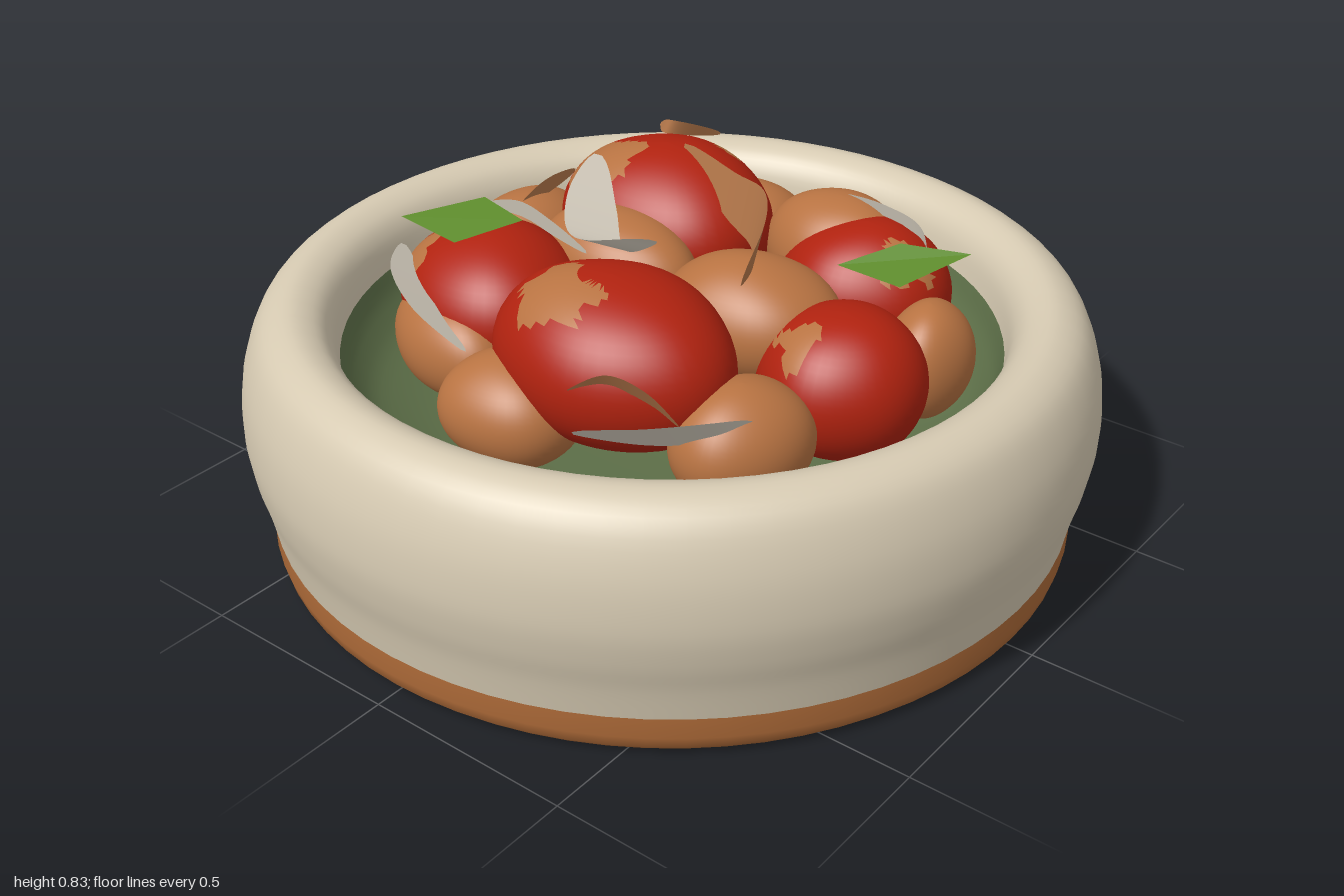
import * as THREE from 'three';

const mat = (name, color, side = THREE.FrontSide) => {
  const m = new THREE.MeshStandardMaterial({ color, side });
  m.name = name;
  return m;
};

export function createModel() {
  const group = new THREE.Group();
  const cream = mat('cream glaze', 0xd6cab2);
  const clay = mat('bare clay', 0xad6a38);
  const moss = mat('moss glaze', 0x5d6f48);
  const red = mat('tomato red', 0xb0220f);
  const orange = mat('roasted orange', 0xb87342);
  const onion = mat('onion white', 0xd9d1c2, THREE.DoubleSide);
  const peel = mat('peel brown', 0xb87a4c, THREE.DoubleSide);
  const leafGreen = mat('leaf green', 0x5c8a2b, THREE.DoubleSide);

  const add = (name, geo, material) => {
    const mesh = new THREE.Mesh(geo, material);
    mesh.name = name;
    group.add(mesh);
    return mesh;
  };

  // Bowl: successive bands of one turned profile
  const lathe = (name, pts, material, smooth = 0) => {
    let v = pts.map(p => new THREE.Vector2(...p));
    if (smooth) v = new THREE.SplineCurve(v).getPoints(smooth);
    add(name, new THREE.LatheGeometry(v, 72), material);
  };
  lathe('bowlUnderside', [[0, 0], [0.89, 0]], moss);
  lathe('bowlFoot', [[0.89, 0], [0.93, 0.004], [0.948, 0.022], [0.955, 0.05], [0.955, 0.1]], clay);
  lathe('bowlWall', [[0.955, 0.1], [0.97, 0.18], [0.99, 0.26], [1, 0.35], [0.987, 0.46], [0.945, 0.56],
    [0.88, 0.6], [0.82, 0.585], [0.785, 0.54], [0.77, 0.47]], cream, 40);
  lathe('bowlInside', [[0.77, 0.47], [0.74, 0.4], [0.66, 0.33], [0.45, 0.27], [0, 0.25]], moss, 20);

  // Slightly lumpy ellipsoid; triangles inside a ragged cap go to the second material
  const lump = (name, pos, radii, turn, main, patches = []) => {
    const geo = new THREE.SphereGeometry(1, 48, 32);
    const p = geo.attributes.position, v = new THREE.Vector3();
    const inMain = [], inPatch = [], idx = geo.index.array;
    const dirs = patches.map(([x, z, size]) =>
      ({ d: new THREE.Vector3(x, Math.sqrt(Math.max(0, 1 - x * x - z * z)), z).normalize(), size }));
    for (let i = 0; i < idx.length; i += 3) {
      const c = new THREE.Vector3();
      for (let k = 0; k < 3; k++) c.add(v.fromBufferAttribute(p, idx[i + k]));
      c.normalize();
      const ragged = 0.07 * Math.sin(c.x * 13 + pos[0] * 9) + 0.06 * Math.sin(c.z * 17 + pos[2] * 7);
      const hit = dirs.some(({ d, size }) => c.angleTo(d) < size + ragged);
      (hit ? inPatch : inMain).push(idx[i], idx[i + 1], idx[i + 2]);
    }
    for (let i = 0; i < p.count; i++) {
      v.fromBufferAttribute(p, i);
      const s = 1 + 0.025 * Math.sin(v.x * 4 + pos[0] * 11) * Math.cos(v.z * 3 + pos[2] * 8);
      p.setXYZ(i, v.x * s * radii[0], v.y * s * radii[1], v.z * s * radii[2]);
    }
    geo.setIndex([...inMain, ...inPatch]);
    geo.addGroup(0, inMain.length, 0);
    geo.addGroup(inMain.length, inPatch.length, 1);
    geo.computeVertexNormals();
    const mesh = add(name, geo, [main, orange]);
    mesh.position.set(...pos);
    mesh.rotation.y = turn;
  };

  // Tomatoes with roasted patches
  [
    [[-0.25, 0.58, -0.30], [0.285, 0.2, 0.235], -0.1, [[-0.45, 0.45, 0.4], [0.1, -0.75, 0.3]]],
    [[0.085, 0.57, 0.31], [0.29, 0.2, 0.225], 0.05, [[-0.35, 0.4, 0.38]]],
    [[-0.41, 0.5, 0.165], [0.24, 0.175, 0.21], -0.2, [[-0.55, 0.6, 0.3]]],
    [[0.47, 0.5, -0.01], [0.19, 0.175, 0.19], 0.1, [[-0.3, 0.6, 0.3]]],
    [[0.28, 0.51, -0.39], [0.21, 0.18, 0.19], 0.2, [[0.6, 0.4, 0.3]]],
  ].forEach(([pos, r, turn, patches], i) => lump('tomato' + (i + 1), pos, r, turn, red, patches));

  // Roasted root pieces filling the gaps
  [
    [[0.17, 0.56, -0.44], [0.19, 0.15, 0.145], 0],
    [[0.21, 0.57, -0.02], [0.22, 0.145, 0.165], 0.25],
    [[-0.22, 0.55, -0.07], [0.22, 0.14, 0.14], 0],
    [[-0.56, 0.49, -0.13], [0.14, 0.13, 0.18], -0.2],
    [[-0.16, 0.49, -0.51], [0.17, 0.14, 0.13], 0.3],
    [[-0.3, 0.48, -0.46], [0.13, 0.12, 0.12], 0.2],
    [[0.41, 0.46, 0.28], [0.14, 0.14, 0.17], -0.25],
    [[-0.08, 0.45, 0.47], [0.17, 0.13, 0.14], 0.2],
    [[0.55, 0.48, -0.24], [0.1, 0.14, 0.13], 0],
    [[-0.42, 0.43, 0.3], [0.19, 0.13, 0.12], -0.3],
    [[0.02, 0.4, -0.1], [0.4, 0.16, 0.4], 0],
  ].forEach(([pos, r, turn], i) => lump('rootPiece' + (i + 1), pos, r, turn, orange));

  // Tapered ribbon along a curve, spread by a fixed width vector
  const ribbon = (name, pts, width, material) => {
    const curve = new THREE.CatmullRomCurve3(pts.map(p => new THREE.Vector3(...p)));
    const n = 24, pos = [], index = [], w = new THREE.Vector3(...width);
    for (let i = 0; i <= n; i++) {
      const t = i / n, c = curve.getPoint(t), s = 0.15 + 0.85 * Math.sin(Math.PI * t) ** 0.7;
      for (const k of [-0.5, 0.5]) {
        const q = c.clone().addScaledVector(w, k * s);
        pos.push(q.x, q.y, q.z);
      }
      if (i < n) index.push(2 * i, 2 * i + 1, 2 * i + 2, 2 * i + 1, 2 * i + 3, 2 * i + 2);
    }
    const geo = new THREE.BufferGeometry();
    geo.setAttribute('position', new THREE.Float32BufferAttribute(pos, 3));
    geo.setIndex(index);
    geo.computeVertexNormals();
    add(name, geo, material);
  };
  // Onion slices
  ribbon('onionCentre', [[-0.32, 0.79, -0.12], [-0.24, 0.73, 0], [-0.12, 0.7, 0.11], [0, 0.73, 0.07]], [-0.08, 0.05, 0.1], onion);
  ribbon('onionLeft', [[-0.61, 0.61, 0.26], [-0.5, 0.6, 0.36], [-0.36, 0.57, 0.43], [-0.24, 0.53, 0.45]], [-0.03, 0.06, 0.08], onion);
  ribbon('onionFront', [[0.15, 0.5, 0.53], [0.32, 0.53, 0.48], [0.44, 0.56, 0.42], [0.48, 0.56, 0.34]], [0.02, 0.08, 0.06], onion);
  ribbon('onionSliver', [[-0.54, 0.66, 0.05], [-0.42, 0.68, 0.05], [-0.3, 0.67, 0.07], [-0.2, 0.64, 0.07]], [0, 0.05, 0.012], onion);
  ribbon('onionBack', [[0.16, 0.7, -0.46], [0.3, 0.7, -0.44], [0.41, 0.68, -0.42], [0.47, 0.62, -0.36]], [0, 0.04, 0.012], onion);
  // Curled peel strips
  ribbon('peelCentre', [[-0.2, 0.78, -0.3], [0, 0.74, -0.22], [0.15, 0.76, -0.12], [0.25, 0.77, 0.01], [0.3, 0.75, 0.14]], [0.03, 0.14, -0.01], peel);
  ribbon('peelLeft', [[-0.55, 0.59, -0.06], [-0.53, 0.63, -0.15], [-0.5, 0.66, -0.24]], [0.012, 0.05, 0], peel);
  ribbon('peelBack', [[-0.4, 0.74, -0.46], [-0.32, 0.77, -0.4], [-0.24, 0.74, -0.5]], [0.02, 0.04, 0], peel);
  ribbon('peelFront', [[0.14, 0.6, 0.53], [0.23, 0.64, 0.5], [0.32, 0.62, 0.48], [0.38, 0.57, 0.46]], [0.01, 0.05, 0.03], peel);

  // Leaves: a diamond creased along its length
  const leaf = (name, [tail, a, tip, b]) => {
    const geo = new THREE.BufferGeometry();
    geo.setAttribute('position', new THREE.Float32BufferAttribute([tail, b, tip, tail, tip, a].flat(), 3));
    geo.computeVertexNormals();
    add(name, geo, leafGreen);
  };
  leaf('leafRight', [[-0.6, 0.69, 0.27], [-0.49, 0.71, 0.1], [-0.36, 0.69, 0.11], [-0.44, 0.665, 0.26]]);
  leaf('leafLeft', [[0.34, 0.68, -0.17], [0.43, 0.715, -0.29], [0.58, 0.71, -0.35], [0.5, 0.67, -0.18]]);
  return group;
}
